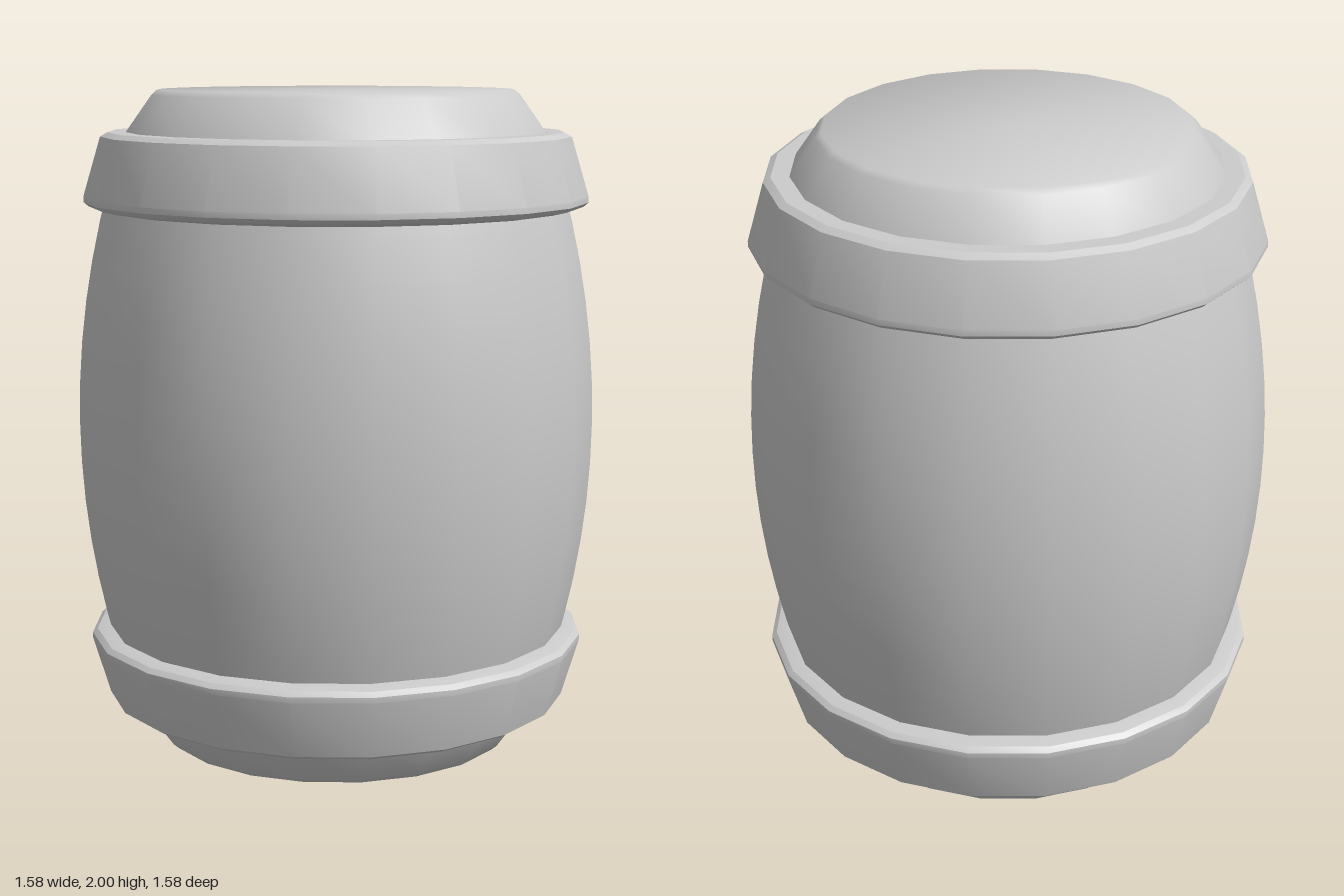
import * as THREE from 'three';
import { toCreasedNormals } from 'three/addons/utils/BufferGeometryUtils.js';

const SIDES = 20;
const HEIGHT = 2;

// Revolve a profile (listed bottom to top along the outside) into a 20-sided solid
function revolve(name, points, crease, material) {
  const profile = points.map(([r, y]) => new THREE.Vector2(r, y));
  const geometry = toCreasedNormals(new THREE.LatheGeometry(profile, SIDES), crease);
  const mesh = new THREE.Mesh(geometry, material);
  mesh.name = name;
  return mesh;
}

// Flip a profile about mid-height, keeping the bottom-to-top order
const mirrored = (points) => points.map(([r, y]) => [r, HEIGHT - y]).reverse();

export function createModel() {
  const group = new THREE.Group();
  group.name = 'barrel';
  const material = new THREE.MeshStandardMaterial({ color: 0xcccccc });

  // Bulging body between two tapered, slightly bevelled ends
  const end = [[0, 0], [0.54, 0], [0.557, 0.015]];
  const bulge = [];
  const steps = 14;
  for (let i = 0; i <= steps; i++) {
    const y = 0.14 + (1.72 * i) / steps;
    bulge.push([0.79 - 0.195 * (y - 1) ** 2, y]);
  }
  group.add(revolve('body', [...end, ...bulge, ...mirrored(end)], 0.75, material));

  // Flared hoops, wide edge towards the middle
  const hoop = [
    [0.6, 0.125], [0.69, 0.125], [0.712, 0.138], [0.765, 0.315],
    [0.765, 0.332], [0.75, 0.345], [0.695, 0.358], [0.6, 0.358],
  ];
  group.add(revolve('bottomHoop', hoop, 0.33, material));
  group.add(revolve('topHoop', mirrored(hoop), 0.33, material));

  return group;
}
